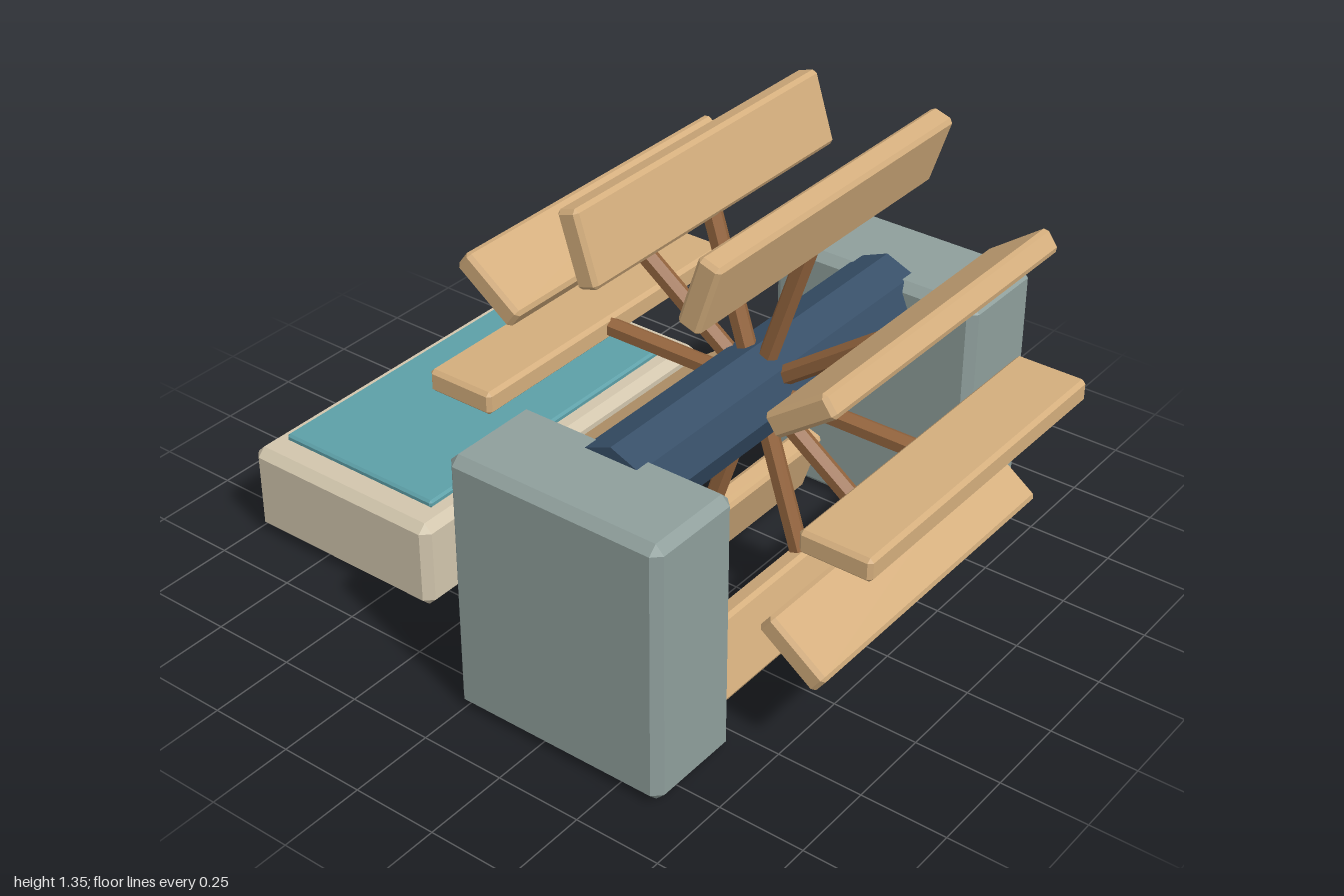
import * as THREE from 'three';
import { ConvexGeometry } from 'three/addons/geometries/ConvexGeometry.js';

const paint = (name, color) => {
  const m = new THREE.MeshStandardMaterial({ color, flatShading: true });
  m.name = name;
  return m;
};

// Box with flat chamfers on every edge
function chamferBox(w, h, d, c) {
  const pts = [];
  for (const x of [-1, 1]) for (const y of [-1, 1]) for (const z of [-1, 1]) {
    for (const [a, b, e] of [[0, c, c], [c, 0, c], [c, c, 0]]) {
      pts.push(new THREE.Vector3(x * (w / 2 - a), y * (h / 2 - b), z * (d / 2 - e)));
    }
  }
  return new ConvexGeometry(pts);
}

export function createModel() {
  const stone = paint('grey stone', 0x8f9f9c);
  const sand = paint('pale sandstone', 0xd2c6ad);
  const water = paint('teal water', 0x5da0a8);
  const plank = paint('light wood', 0xd4ae7d);
  const darkWood = paint('brown wood', 0x96663f);
  const iron = paint('dark blue iron', 0x374f68);

  const model = new THREE.Group();
  const add = (parent, name, geometry, material, x = 0, y = 0, z = 0) => {
    const mesh = new THREE.Mesh(geometry, material);
    mesh.name = name;
    mesh.position.set(x, y, z);
    parent.add(mesh);
    return mesh;
  };

  // Two piers carrying the axle
  const pier = chamferBox(0.305, 0.775, 0.66, 0.025);
  add(model, 'leftPier', pier, stone, 0.693, 0.39, 0.302);
  add(model, 'rightPier', pier, stone, -0.693, 0.39, 0.302);

  // Wheel: octagonal axle with ten paddles
  const wheel = new THREE.Group();
  wheel.name = 'wheel';
  wheel.position.set(0, 0.686, 0.304);
  model.add(wheel);
  const axle = add(wheel, 'axle', new THREE.CylinderGeometry(0.125, 0.125, 1.22, 8), iron);
  axle.rotation.z = Math.PI / 2;

  const spokeGeometry = new THREE.CylinderGeometry(0.028, 0.028, 0.46, 6);
  const paddleGeometry = chamferBox(1.015, 0.21, 0.068, 0.011);
  for (let i = 0; i < 10; i++) {
    const arm = new THREE.Group();
    arm.name = 'arm' + (i + 1);
    arm.rotation.x = Math.PI / 2 + (i * Math.PI) / 5;
    add(arm, 'spoke', spokeGeometry, darkWood, 0, 0.28, 0);
    add(arm, 'paddle', paddleGeometry, plank, 0, 0.59, 0);
    wheel.add(arm);
  }

  // Basin behind the wheel with its water surface
  add(model, 'basin', chamferBox(1.22, 0.27, 0.66, 0.025), sand, 0, 0.145, -0.67);
  add(model, 'waterSurface', chamferBox(1.05, 0.024, 0.55, 0.007), water, 0, 0.291, -0.67);

  return model;
}
